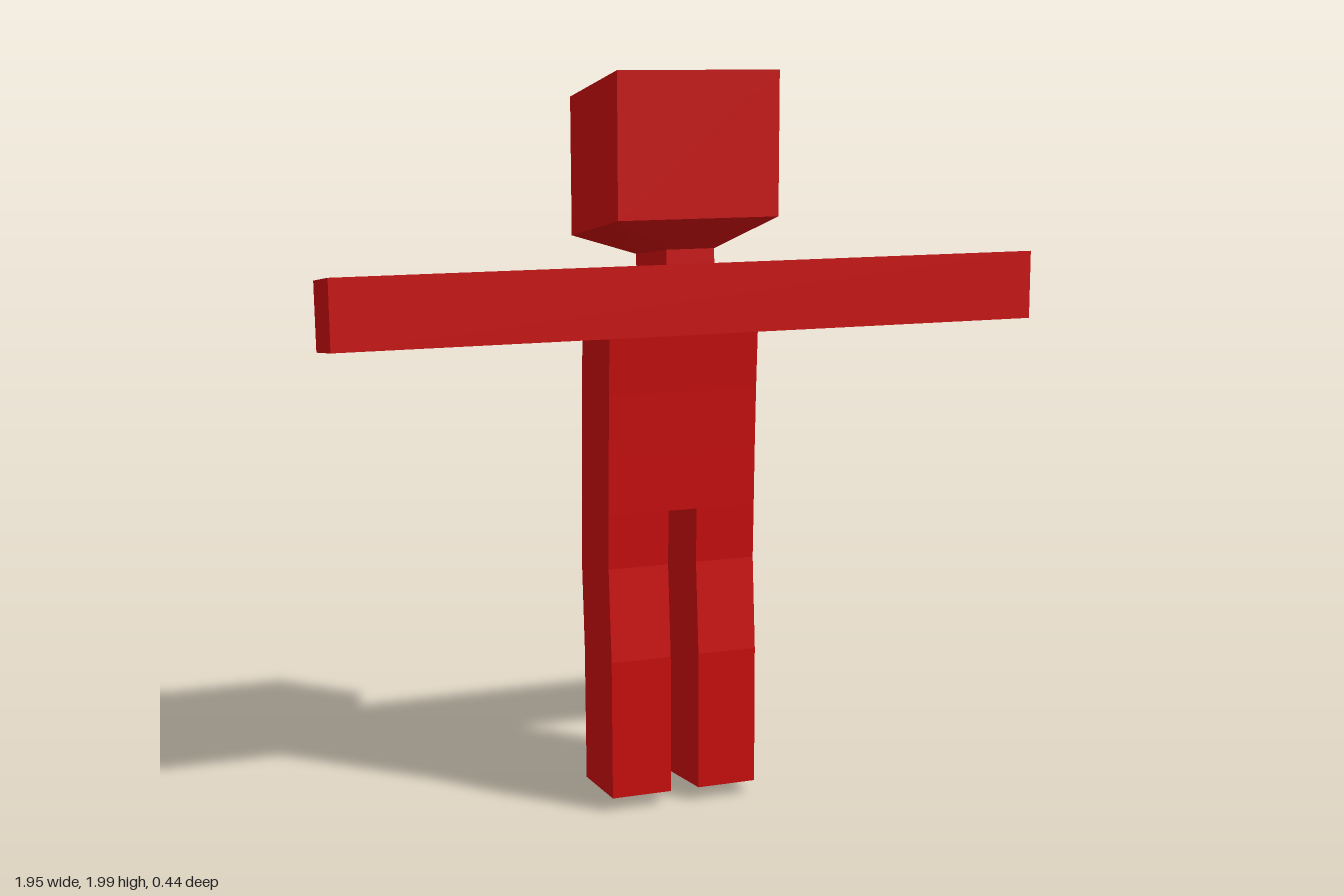
import * as THREE from 'three';

const red = new THREE.MeshStandardMaterial({ color: 0xd40e0e, flatShading: true });
red.name = 'red';

// Four corners, counter-clockwise from above; the back edge sits lower by drop.
// fx and bx are the [min, max] x of the front and back edges.
function ring(y, zf, zb, fx, bx = fx, drop = 0.038) {
  const skew = (x) => -0.013 * x;
  return [
    [fx[0], y, zf + skew(fx[0])], [fx[1], y, zf + skew(fx[1])],
    [bx[1], y - drop, zb + skew(bx[1])], [bx[0], y - drop, zb + skew(bx[0])],
  ];
}

// Skin a stack of four-cornered rings, bottom to top.
function loft(name, rings, capBottom, capTop) {
  const pos = [];
  const quad = (a, b, c, d) => pos.push(...a, ...b, ...c, ...a, ...c, ...d);
  for (let r = 0; r < rings.length - 1; r++) {
    const lo = rings[r], hi = rings[r + 1];
    for (let i = 0; i < 4; i++) {
      const j = (i + 1) % 4;
      quad(lo[i], lo[j], hi[j], hi[i]);
    }
  }
  const last = rings[rings.length - 1];
  if (capBottom) quad(...[...rings[0]].reverse());
  if (capTop) quad(...last);
  const geo = new THREE.BufferGeometry();
  geo.setAttribute('position', new THREE.Float32BufferAttribute(pos, 3));
  geo.computeVertexNormals();
  const mesh = new THREE.Mesh(geo, red);
  mesh.name = name;
  return mesh;
}

export function createModel() {
  const group = new THREE.Group();
  group.name = 'figure';

  // Legs bend forward-to-back at the knee: [y, front z, back z]
  const legProfile = [[0.044, 0.121, -0.149], [0.43, 0.119, -0.154], [0.685, 0.097, -0.175], [0.835, 0.102, -0.167]];
  const leg = (name, fx, bx) =>
    group.add(loft(name, legProfile.map(([y, f, b]) => ring(y, f, b, fx, bx)), true, false));
  leg('rightLeg', [-0.253, -0.085], [-0.253, -0.093]);
  leg('leftLeg', [-0.005, 0.16], [-0.02, 0.16]);

  // Torso, gently curved from hips to shoulders
  const torsoProfile = [[0.835, 0.102, -0.167], [1.0, 0.107, -0.161], [1.16, 0.114, -0.154], [1.312, 0.124, -0.144]];
  group.add(loft('torso', torsoProfile.map(([y, f, b]) => ring(y, f, b, [-0.253, 0.16])), true, false));

  // Outstretched arms and shoulders in one bar
  const span = [-0.975, 0.975];
  group.add(loft('arms', [ring(1.312, 0.124, -0.144, span), ring(1.5, 0.121, -0.152, span)], true, true));

  // Neck flaring into a tapered jaw, then the boxy head
  const neck = [-0.095, 0.037];
  const neckTop = ring(1.539, 0.12, -0.152, neck);
  const jaw = ring(1.626, 0.217, -0.217, [-0.255, 0.18], [-0.26, 0.215], 0.075);
  const crown = ring(2, 0.217, -0.217, [-0.255, 0.18], [-0.26, 0.215], 0.075);
  group.add(loft('neck', [ring(1.499, 0.121, -0.152, neck), neckTop], false, false));
  group.add(loft('head', [neckTop, jaw, crown], false, true));

  return group;
}
